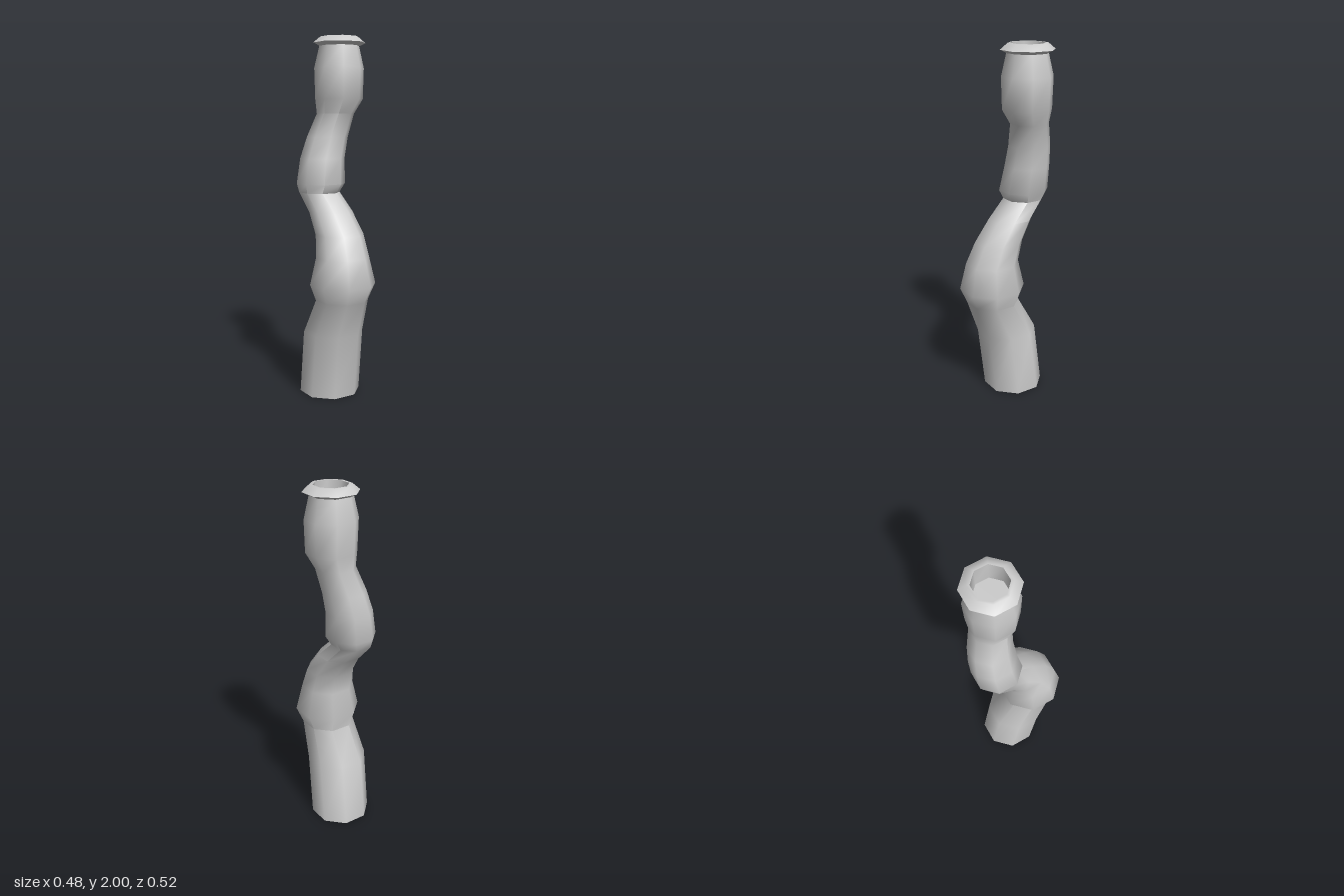
import * as THREE from 'three';
import { toCreasedNormals } from 'three/addons/utils/BufferGeometryUtils.js';

const SIDES = 8;

// Skin a stack of horizontal octagons [y, centreX, centreZ, radius]
function loft(rings, capStart, capEnd) {
  const pos = [], index = [];
  for (const [y, cx, cz, r] of rings) {
    for (let i = 0; i < SIDES; i++) {
      const a = (i / SIDES) * Math.PI * 2;
      pos.push(cx + r * Math.cos(a), y, cz + r * Math.sin(a));
    }
  }
  for (let k = 0; k < rings.length - 1; k++) {
    for (let i = 0; i < SIDES; i++) {
      const j = (i + 1) % SIDES;
      const a = k * SIDES + i, b = k * SIDES + j, c = a + SIDES, d = b + SIDES;
      index.push(a, c, b, b, c, d);
    }
  }
  const last = (rings.length - 1) * SIDES;
  for (let i = 1; i < SIDES - 1; i++) {
    if (capStart) index.push(0, i, i + 1);
    if (capEnd) index.push(last, last + i + 1, last + i);
  }
  const g = new THREE.BufferGeometry();
  g.setAttribute('position', new THREE.Float32BufferAttribute(pos, 3));
  g.setIndex(index);
  return toCreasedNormals(g, 1.0);
}

export function createModel() {
  const group = new THREE.Group();
  group.name = 'crookedPipe';
  const material = new THREE.MeshStandardMaterial({ color: 0xcccccc });
  const add = (name, geometry) => {
    const mesh = new THREE.Mesh(geometry, material);
    mesh.name = name;
    group.add(mesh);
  };

  // Winding pipe with swollen joints
  add('pipeBody', loft([
    [0, 0, -0.05, 0.17],
    [0.36, -0.02, -0.01, 0.168],
    [0.56, -0.055, 0.075, 0.147],
    [0.65, -0.055, 0.08, 0.183],
    [0.8, -0.055, 0.078, 0.148],
    [0.92, -0.033, 0.043, 0.134],
    [1.04, -0.008, -0.035, 0.122],
    [1.14, 0.015, -0.13, 0.115],
    [1.19, 0.02, -0.123, 0.138],
    [1.33, 0.04, -0.127, 0.127],
    [1.45, 0.065, -0.11, 0.117],
    [1.58, 0.09, -0.072, 0.106],
    [1.66, 0.09, -0.047, 0.135],
    [1.83, 0.09, -0.047, 0.14],
    [1.95, 0.09, -0.046, 0.112],
  ], true, false));

  // Flared lip with a recessed mouth
  const lip = [[1.95, 0.112], [1.967, 0.147], [2, 0.107], [2, 0.091], [1.87, 0.091]];
  add('lip', loft(lip.map(([y, r]) => [y, 0.092, -0.046, r]), false, true));

  return group;
}
